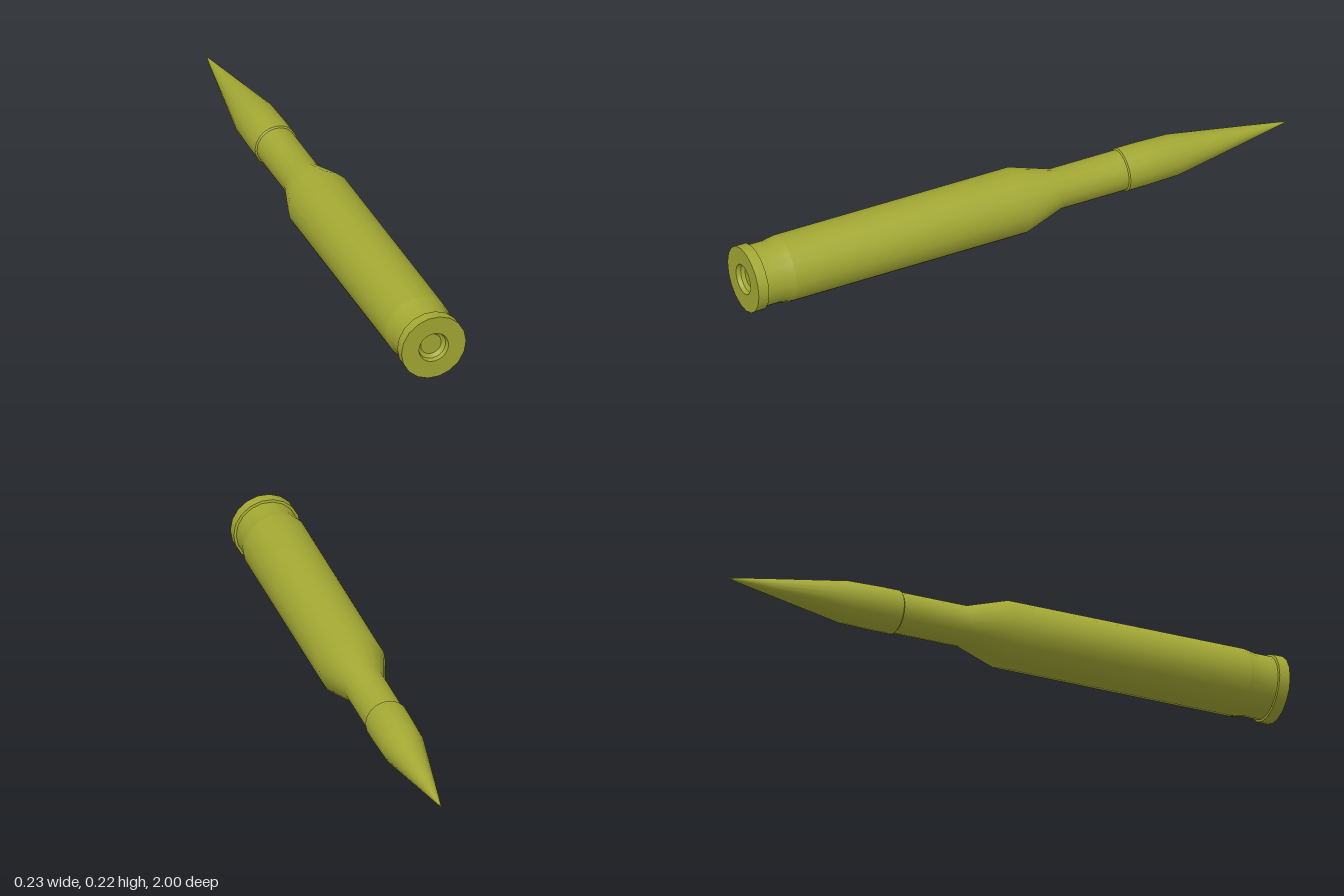
import * as THREE from 'three';

const SIDES = 18;
const RADIUS = 0.114;
const AXIS_Y = RADIUS * Math.cos(Math.PI / SIDES); // rests on a flat side

export function createModel() {
  const group = new THREE.Group();
  const material = new THREE.MeshStandardMaterial({ color: 0xa3a833 });

  const add = (name, geometry) => {
    const mesh = new THREE.Mesh(geometry, material);
    mesh.name = name;
    mesh.position.y = AXIS_Y;
    group.add(mesh);
  };

  // Turned part along z from [radius, z] pairs, running from tip to base
  const turned = (name, profile, sides = SIDES) => {
    const points = profile.map(([r, z]) => new THREE.Vector2(r, z));
    const geometry = new THREE.LatheGeometry(points, sides, Math.PI / 2);
    add(name, geometry.rotateX(Math.PI / 2));
  };

  // Pointed front piece
  turned('tip', [[0, -1], [0.027, -0.84], [0.071, -0.57], [0.074, -0.45], [0.074, -0.385]]);
  turned('tipShoulder', [[0.074, -0.385], [0.068, -0.38]]);

  // Neck, sloping shoulder and long body
  turned('casing', [[0.069, -0.385], [0.069, -0.14], [0.113, 0], [0.1135, 0.86]]);

  // Groove ahead of the rim
  turned('groove', [[0.1135, 0.86], [0.106, 0.9], [0.106, 0.96]]);
  turned('rimStep', [[0.106, 0.96], [RADIUS, 0.962]]);
  turned('rim', [[RADIUS, 0.962], [RADIUS, 1]]);

  // Flat base with a round opening
  const base = new THREE.Shape();
  for (let i = 0; i < SIDES; i++) {
    const a = (i / SIDES) * Math.PI * 2;
    base[i ? 'lineTo' : 'moveTo'](RADIUS * Math.cos(a), RADIUS * Math.sin(a));
  }
  base.holes.push(new THREE.Path().absarc(0, 0, 0.052, 0, Math.PI * 2, true));
  add('base', new THREE.ShapeGeometry(base, 18).translate(0, 0, 1));

  // Stepped recess in the base
  turned('recessWall', [[0.052, 1], [0.048, 0.985]], 36);
  turned('recessSlope', [[0.048, 0.985], [0.036, 0.975]], 36);
  turned('recessFloor', [[0.036, 0.975], [0, 0.975]], 36);

  return group;
}
